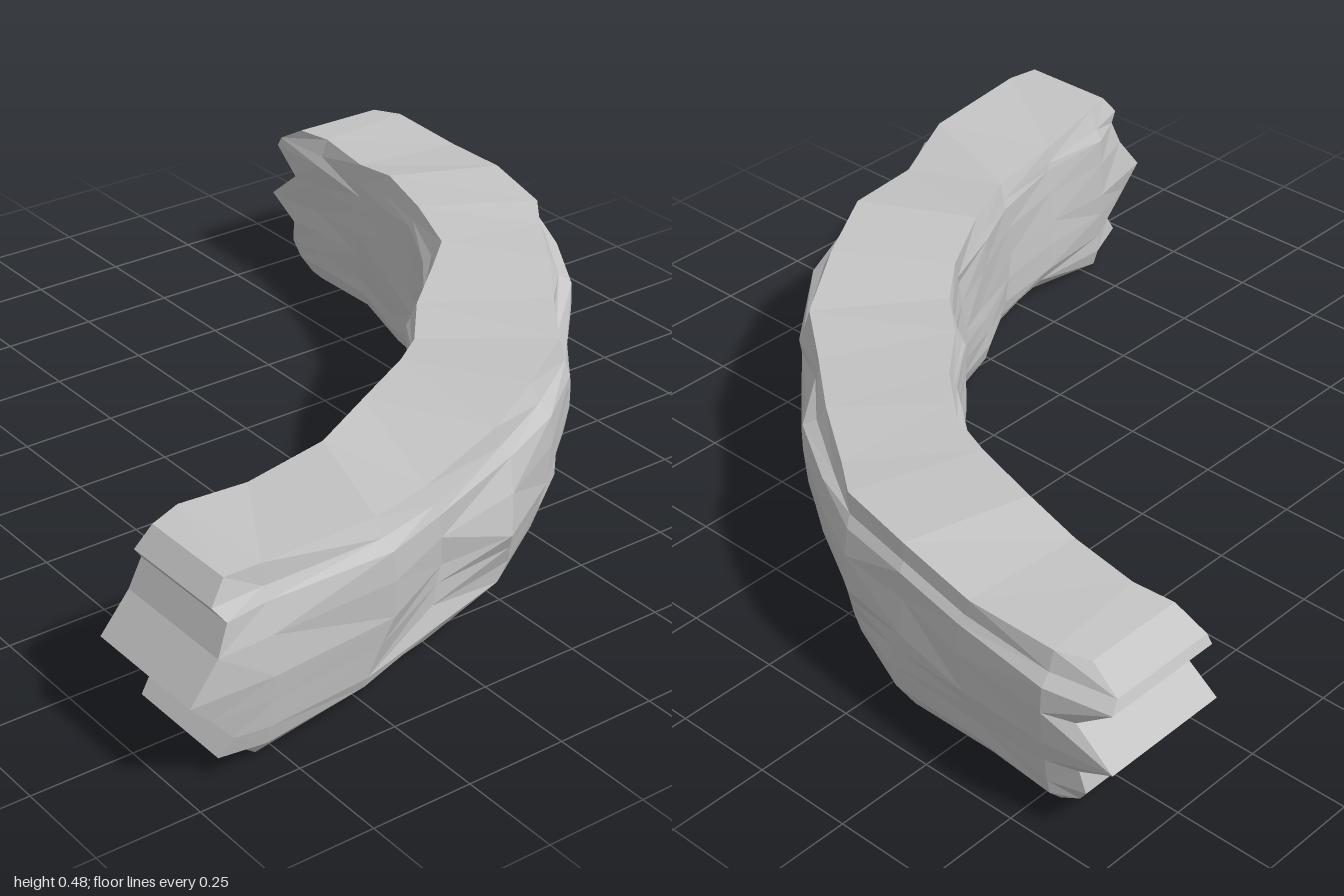
import * as THREE from 'three';

// Stations along the bend: outer x, z, inner x, z, bottom y, top y
const STATIONS = [
  [-1.0, 0.97, -1.0, 0.64, 0.01, 0.475],
  [-0.79, 0.98, -0.8, 0.59, 0.0, 0.48],
  [-0.48, 0.965, -0.58, 0.575, 0.025, 0.455],
  [-0.24, 0.89, -0.38, 0.53, 0.035, 0.445],
  [-0.02, 0.825, -0.2, 0.44, 0.03, 0.462],
  [0.2, 0.71, -0.04, 0.37, 0.03, 0.462],
  [0.41, 0.54, 0.09, 0.27, 0.035, 0.45],
  [0.56, 0.385, 0.18, 0.14, 0.03, 0.458],
  [0.7, 0.19, 0.31, 0.03, 0.025, 0.455],
  [0.82, 0.01, 0.43, -0.09, 0.035, 0.46],
  [0.9, -0.14, 0.51, -0.24, 0.02, 0.47],
  [0.965, -0.33, 0.56, -0.42, 0.02, 0.465],
  [0.985, -0.58, 0.6, -0.6, 0.04, 0.455],
  [1.0, -0.82, 0.605, -0.78, 0.035, 0.45],
  [0.95, -0.99, 0.62, -0.99, 0.03, 0.445],
];
// Rows from bottom to top: height fraction and inset of the two sides
const ROWS = [0, 0.1, 0.2, 0.35, 0.48, 0.68, 0.83, 0.89, 1];
const OUTER_INSET = [0.08, 0.035, 0.02, 0.01, 0, 0, 0.01, 0.035, 0.05];
const INNER_INSET = [0.03, 0.01, 0.005, 0, 0, 0.005, 0.01, 0.015, 0.025];
// How far each row stops short at the two broken ends
const START_BREAK = [0.19, 0.09, 0.12, 0.06, 0, 0.07, 0.1, 0.08, 0.12];
const END_BREAK = [0.15, 0.12, 0.09, 0.1, 0, 0.1, 0.01, 0.02, 0.1];
// Hollows between the bulges of the outer face: station, centre row, depth
const HOLLOWS = [[3, 4, 0.045], [6, 4, 0.04], [7, 6, 0.035], [9, 2, 0.03], [11, 5, 0.035]];

function seeded(seed) {
  return () => {
    seed = (seed * 16807) % 2147483647;
    return (seed / 2147483647) * 2 - 1;
  };
}

// Rough offsets on every second row, interpolated to keep broad facets
function roughRows(rand) {
  const keys = [0, 1, 2, 3, 4].map((k) => ({
    side: Math.abs(rand()) * 0.03,
    up: rand() * (k % 4 ? 0.025 : 0.012),
    along: rand() * 0.035,
  }));
  return ROWS.map((_, r) => {
    const a = keys[Math.floor(r / 2)];
    const b = keys[Math.ceil(r / 2)];
    return { side: (a.side + b.side) / 2, up: (a.up + b.up) / 2, along: (a.along + b.along) / 2 };
  });
}

function hollowDepth(s, r) {
  const hollow = HOLLOWS.find((h) => h[0] === s);
  return hollow ? hollow[2] * Math.max(0, 1 - Math.abs(r - hollow[1]) / 3) : 0;
}

function buildRings() {
  const rand = seeded(4711);
  const last = STATIONS.length - 1;
  return STATIONS.map(([ox, oz, ix, iz, bottom, top], s) => {
    const outer = new THREE.Vector3(ox, 0, oz);
    const inner = new THREE.Vector3(ix, 0, iz);
    const across = outer.clone().sub(inner).normalize();
    const along = new THREE.Vector3(across.z, 0, -across.x);
    const isEnd = s === 0 || s === last;
    const sides = [[outer, -1, OUTER_INSET], [inner, 1, INNER_INSET]].map(([base, sign, inset]) => {
      const rough = roughRows(rand);
      return ROWS.map((f, r) => {
        const hollow = sign < 0 ? hollowDepth(s, r) : 0;
        const depth = inset[r] + (isEnd ? 0 : rough[r].side) + hollow;
        const p = base.clone().addScaledVector(across, sign * depth);
        p.y = THREE.MathUtils.lerp(bottom, top, f);
        if (s === 0) p.x += START_BREAK[r];
        else if (s === last) p.z += END_BREAK[r];
        else if (s > 1 && s < last - 1) {
          p.y += rough[r].up;
          p.addScaledVector(along, rough[r].along);
        }
        return p;
      });
    });
    return { outer: sides[0], inner: sides[1], ring: [...sides[0], ...sides[1].slice().reverse()] };
  });
}

// Flat-shaded mesh from separate quads
function facetMesh(name, quads, material) {
  const points = [];
  quads.forEach(([a, b, c, d], i) => {
    if (i % 3 === 1) points.push(a, b, d, b, c, d);
    else points.push(a, b, c, a, c, d);
  });
  const geometry = new THREE.BufferGeometry().setFromPoints(points);
  geometry.computeVertexNormals();
  const mesh = new THREE.Mesh(geometry, material);
  mesh.name = name;
  return mesh;
}

export function createModel() {
  const group = new THREE.Group();
  group.name = 'curvedRockWall';
  const stone = new THREE.MeshStandardMaterial({ color: 0xc4c4c4 });
  stone.name = 'grey stone';
  const rings = buildRings();

  // Long curved body
  const body = [];
  for (let s = 0; s < rings.length - 1; s++) {
    const a = rings[s].ring;
    const b = rings[s + 1].ring;
    a.forEach((p, k) => {
      const n = (k + 1) % a.length;
      body.push([p, b[k], b[n], a[n]]);
    });
  }
  group.add(facetMesh('rockBody', body, stone));

  // Broken ends with grooves running across
  const cap = ({ outer, inner }, flip) => outer.slice(1).map((p, i) => {
    const quad = [outer[i], p, inner[i + 1], inner[i]];
    return flip ? quad.reverse() : quad;
  });
  group.add(facetMesh('rightBrokenEnd', cap(rings[0], false), stone));
  group.add(facetMesh('backBrokenEnd', cap(rings[rings.length - 1], true), stone));
  return group;
}
